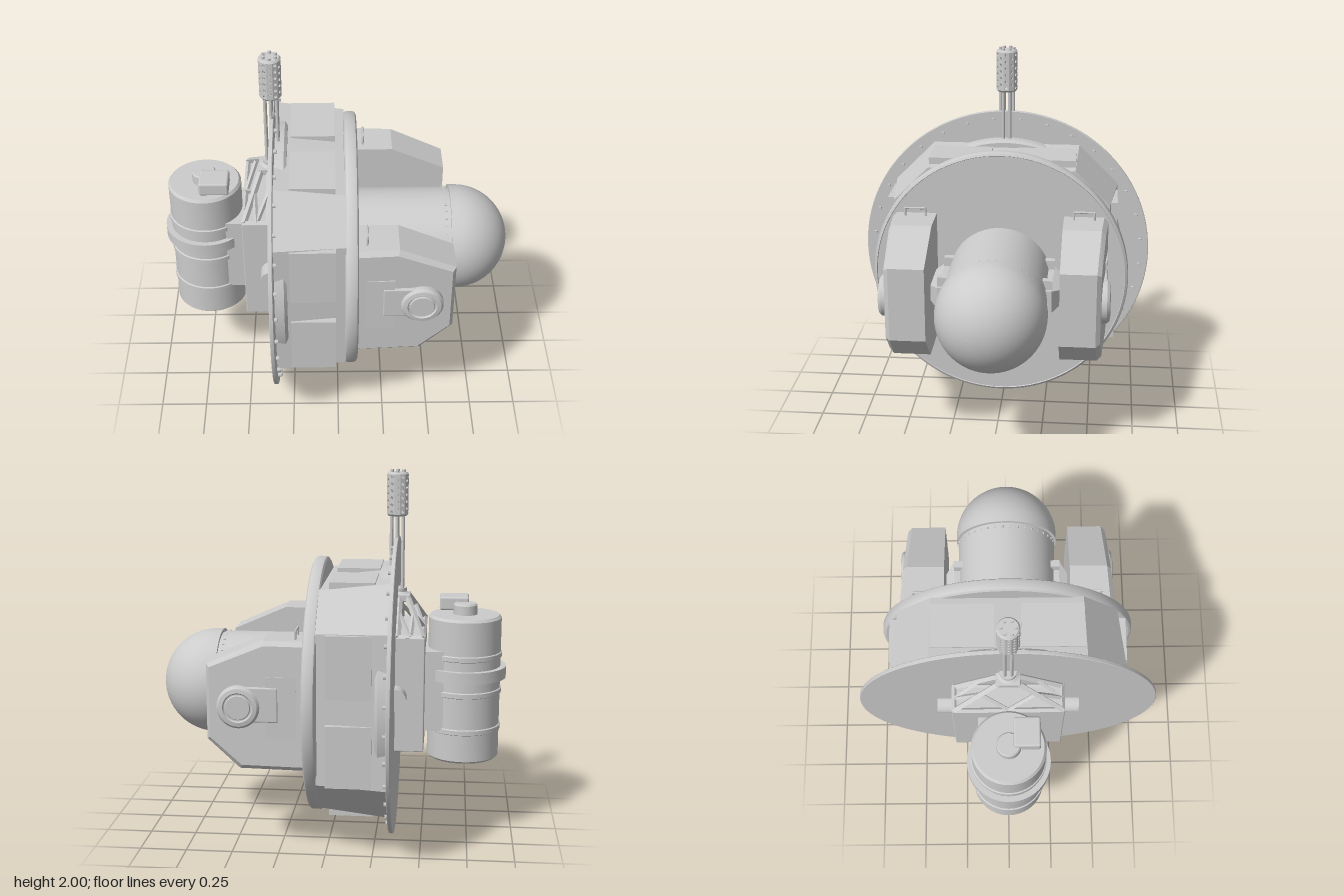
import * as THREE from 'three';
import { toCreasedNormals } from 'three/addons/utils/BufferGeometryUtils.js';
import { ConvexGeometry } from 'three/addons/geometries/ConvexGeometry.js';
import { RoundedBoxGeometry } from 'three/addons/geometries/RoundedBoxGeometry.js';

const grey = new THREE.MeshStandardMaterial({ color: 0xcccccc });
const AXIS = 0.822; // height of the main axis, which runs along x
const V = (x, y, z) => new THREE.Vector3(x, y, z);

function add(parent, name, geometry, x = 0, y = 0, z = 0) {
  const mesh = new THREE.Mesh(geometry, grey);
  mesh.name = name;
  mesh.position.set(x, y, z);
  parent.add(mesh);
  return mesh;
}

function box(parent, name, x0, x1, y0, y1, z0, z1, r = 0) {
  const s = [x1 - x0, y1 - y0, z1 - z0];
  const geo = r ? new RoundedBoxGeometry(...s, 2, r) : new THREE.BoxGeometry(...s);
  return add(parent, name, geo, (x0 + x1) / 2, (y0 + y1) / 2, (z0 + z1) / 2);
}

// Turned solid from [radius, height] points, listed bottom to top
const lathe = (pts, seg = 64) =>
  toCreasedNormals(new THREE.LatheGeometry(pts.map(p => new THREE.Vector2(...p)), seg), 0.5);
const latheX = (pts, seg) => lathe(pts, seg).rotateZ(-Math.PI / 2);

// Straight bar between two points: round, or square when sides = 4
function bar(parent, name, a, b, r, sides = 10) {
  const geo = toCreasedNormals(new THREE.CylinderGeometry(r, r, a.distanceTo(b), sides), sides > 4 ? 1 : 0.5);
  const mesh = add(parent, name, geo);
  mesh.position.lerpVectors(a, b, 0.5);
  mesh.quaternion.setFromUnitVectors(V(0, 1, 0), b.clone().sub(a).normalize());
  return mesh;
}

// Ring of small studs around the main axis
function studs(parent, name, count, radius, x0, x1, r) {
  for (let i = 0; i < count; i++) {
    const a = (i + 0.5) / count * Math.PI * 2;
    const y = radius * Math.cos(a), z = radius * Math.sin(a);
    bar(parent, name, V(x0, y, z), V(x1, y, z), r, 8);
  }
}

function buildHull(root) {
  const hull = new THREE.Group();
  hull.name = 'hull';
  hull.position.y = AXIS;
  root.add(hull);

  add(hull, 'mountingFlange', latheX([[0, -0.352], [0.817, -0.352], [0.82, -0.349], [0.82, -0.333], [0.817, -0.33], [0, -0.33]], 96));
  studs(hull, 'flangeBolt', 32, 0.772, -0.33, -0.313, 0.011);

  // Tapered eight-sided drum with cut corners
  const pts = [];
  for (const [x, a, b] of [[-0.33, 0.632, 0.41], [0.04, 0.59, 0.4]])
    for (const s of [-1, 1]) for (const t of [-1, 1]) pts.push(V(x, s * a, t * b), V(x, t * b, s * a));
  add(hull, 'drum', new ConvexGeometry(pts));
  add(hull, 'drumLip', latheX([[0, -0.33], [0.667, -0.33], [0.667, -0.28], [0.652, -0.265], [0, -0.265]], 96));

  // Two access panels on each flat face
  for (let i = 0; i < 4; i++) {
    const face = new THREE.Group();
    face.name = 'panelFace';
    face.rotation.x = i * Math.PI / 2;
    hull.add(face);
    for (const s of [-1, 1])
      box(face, 'accessPanel', -0.25, -0.012, s * 0.235 - 0.165, s * 0.235 + 0.165, 0.56, 0.632);
  }

  add(hull, 'frontRing', latheX([[0, 0.035], [0.685, 0.035], [0.697, 0.042], [0.701, 0.052], [0.701, 0.088],
    [0.697, 0.098], [0.685, 0.105], [0.682, 0.1], [0, 0.1]], 96));

  // Pressure vessel with a domed end
  const dome = [[0, 0.09], [0.277, 0.09], [0.277, 0.605], [0.27, 0.605], [0.27, 0.618], [0.289, 0.618]];
  for (let i = 0; i <= 20; i++) {
    const a = i / 20 * Math.PI / 2;
    dome.push([0.289 * Math.cos(a), 0.655 + 0.289 * Math.sin(a)]);
  }
  add(hull, 'domedVessel', latheX(dome));
  studs(hull, 'seamRivet', 40, 0.277, 0.585, 0.598, 0.005);

  // Small feet and grab handles on the lower vessel
  for (const s of [-1, 1]) {
    for (const x of [0.25, 0.45]) bar(hull, 'vesselFoot', V(x, -0.16, s * 0.2), V(x, -0.21, s * 0.25), 0.008);
    for (const x of [0.2, 0.45]) handle(hull, x, -0.27, s * 0.06, -0.045, 0.07);
  }
}

// Bent-rod handle, spanning along z and rising by h
function handle(parent, x, y, z, h, w) {
  const p = [V(x, y, z - w / 2), V(x, y + h, z - w / 2), V(x, y + h, z + w / 2), V(x, y, z + w / 2)];
  for (let i = 0; i < 3; i++) bar(parent, 'grabHandle', p[i], p[i + 1], 0.006, 8);
}

function buildPod(root, side) {
  const pod = new THREE.Group();
  pod.name = side > 0 ? 'frontPod' : 'backPod';
  if (side < 0) pod.rotation.y = Math.PI;
  root.add(pod);
  const fx = x => side * x; // keeps x the same after the half turn
  const span = (a, b) => [Math.min(fx(a), fx(b)), Math.max(fx(a), fx(b))];

  // Armoured case with bevelled outer edges, slightly slimmer at its free end
  const outline = [[0.1, 0.49], [0.44, 0.49], [0.612, 0.645], [0.612, 1.045], [0.315, 1.175], [0.1, 1.175]];
  const pts = [];
  for (const [x, y] of outline) {
    const taper = (x - 0.1) * 0.055;
    pts.push(V(fx(x), y, 0.345), V(fx(x), y, 0.562 - taper));
    pts.push(V(fx(0.1 + (x - 0.1) * 0.965), 0.83 + (y - 0.83) * 0.93, 0.585 - taper));
  }
  add(pod, 'podCase', new ConvexGeometry(pts));

  // Outer hatch, pivot arm and round pivot cover
  box(pod, 'podHatch', ...span(0.14, 0.295), 0.665, 0.99, 0.5, 0.583);
  box(pod, 'pivotArm', ...span(0.235, 0.43), 0.75, 0.935, 0.5, 0.588, 0.008);
  add(pod, 'pivotCover', lathe([[0, 0.5], [0.112, 0.5], [0.112, 0.588], [0.1, 0.602], [0.078, 0.606], [0.072, 0.598],
    [0.066, 0.598], [0.062, 0.604], [0, 0.604]], 48).rotateX(Math.PI / 2), fx(0.44), 0.83, 0);
  handle(pod, fx(0.15), 1.17, 0.455, 0.047, 0.11);

  // Flared bracket joining the pod to the vessel
  const bracket = [];
  for (const [z, x0, x1, h] of [[0.26, 0.11, 0.47, 0.06], [0.3, 0.11, 0.47, 0.06], [0.35, 0.17, 0.39, 0.04]])
    for (const x of [x0, x1]) for (const s of [-1, 1]) bracket.push(V(fx(x), 0.83 + s * h, z));
  add(pod, 'podBracket', new ConvexGeometry(bracket));
  for (const x of [0.14, 0.43]) box(pod, 'bracketClamp', ...span(x - 0.02, x + 0.02), 0.74, 0.94, 0.25, 0.302);
}

function buildTank(root) {
  box(root, 'equipmentBox', -0.507, -0.345, 0.525, 1.148, -0.3, 0.3, 0.006);
  bar(root, 'sideStub', V(-0.355, 0.83, -0.39), V(-0.355, 0.83, 0.39), 0.06, 32);
  box(root, 'tankMount', -0.62, -0.5, 0.605, 1.045, -0.163, 0.163);

  // Upright tank with raised ribs
  const p = [[0, 0.43], [0.185, 0.43], [0.197, 0.442]];
  for (const y of [0.605, 0.81, 1.01])
    p.push([0.197, y - 0.016], [0.204, y - 0.012], [0.204, y + 0.012], [0.197, y + 0.016]);
  p.push([0.197, 1.21], [0.185, 1.225], [0, 1.225]);
  add(root, 'tank', lathe(p), -0.718, 0, 0);
  add(root, 'tankStrap', lathe([[0.19, 0.882], [0.226, 0.882], [0.226, 0.945], [0.19, 0.945]]), -0.72, 0, 0);
  add(root, 'tankCap', lathe([[0, 1.22], [0.065, 1.22], [0.065, 1.275], [0.058, 1.285], [0, 1.285]], 32), -0.718, 0, 0);
  box(root, 'valveBox', -0.737, -0.578, 1.235, 1.31, 0.025, 0.165, 0.012);
}

function buildMast(root) {
  const mx = -0.343;
  // Braced truss rising from the equipment box to the mast foot
  const low = [V(-0.495, 1.145, -0.285), V(-0.495, 1.145, 0.285), V(-0.362, 1.145, 0.285), V(-0.362, 1.145, -0.285)];
  const high = [V(-0.405, 1.32, -0.05), V(-0.405, 1.32, 0.05), V(-0.362, 1.32, 0.05), V(-0.362, 1.32, -0.05)];
  for (let i = 0; i < 4; i++) {
    const j = (i + 1) % 4;
    bar(root, 'trussLeg', low[i], high[i], 0.017, 4);
    bar(root, 'trussSill', low[i], low[j], 0.015, 4);
    if (i === 2) continue;
    const mid = low[i].clone().lerp(low[j], 0.5);
    bar(root, 'trussBrace', mid, low[i].clone().lerp(high[i], 0.6), 0.013, 4);
    bar(root, 'trussBrace', mid, low[j].clone().lerp(high[j], 0.6), 0.013, 4);
  }
  box(root, 'trussCap', -0.42, -0.34, 1.295, 1.335, -0.065, 0.065, 0.006);
  add(root, 'mastFoot', lathe([[0, 1.3], [0.06, 1.3], [0.06, 1.335], [0.045, 1.345], [0.045, 1.365], [0, 1.365]], 32), mx - 0.01, 0, 0);

  // Cluster of slim tubes
  for (let i = 0; i < 6; i++) {
    const a = (i + 0.5) * Math.PI / 3, x = mx + 0.036 * Math.cos(a), z = 0.036 * Math.sin(a);
    bar(root, 'mastTube', V(x, 1.33, z), V(x, 2, z), 0.009, 12);
  }

  // Perforated sleeve made of twelve pierced strips
  const R = 0.057, w = R * Math.tan(Math.PI / 12);
  for (let i = 0; i < 12; i++) {
    const strip = new THREE.Shape([[-w, 1.765], [w, 1.765], [w, 1.978], [-w, 1.978]].map(q => new THREE.Vector2(...q)));
    for (let k = 0; k < 5 + i % 2; k++)
      strip.holes.push(new THREE.Path().absarc(0, 1.7975 - (i % 2) * 0.0185 + k * 0.037, 0.0085, 0, Math.PI * 2, true));
    const geo = new THREE.ExtrudeGeometry(strip, { depth: 0.007, bevelEnabled: false, curveSegments: 8 });
    geo.translate(0, 0, R - 0.007);
    add(root, 'sleeveStrip', geo, mx, 0, 0).rotation.y = i * Math.PI / 6;
  }
  for (const [y, s] of [[1.765, -1], [1.978, 1]])
    add(root, 'sleeveEnd', new THREE.CylinderGeometry(s > 0 ? 0.05 : 0.058, s > 0 ? 0.058 : 0.05, 0.01, 24), mx, y + s * 0.005, 0);
}

export function createModel() {
  const root = new THREE.Group();
  root.name = 'turretModule';
  buildHull(root);
  buildPod(root, 1);
  buildPod(root, -1);
  buildTank(root);
  buildMast(root);
  return root;
}
